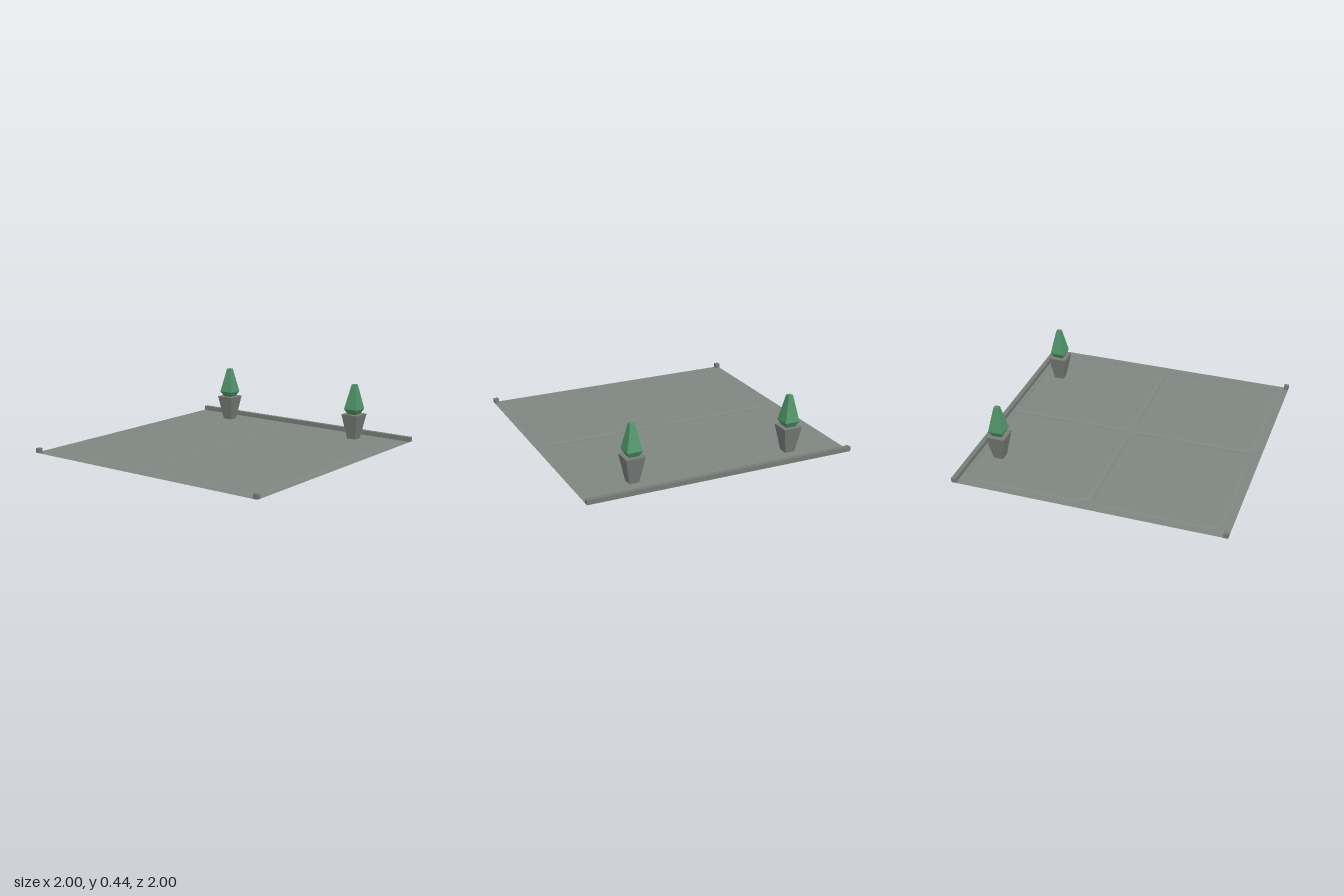
import * as THREE from 'three';

const mat = (name, color, extra = {}) =>
  Object.assign(new THREE.MeshStandardMaterial({ color, ...extra }), { name });

// Stacked rings of [x, y, z] points joined into a flat-faced skin, optionally capped.
function loft(rings, capTop, capBottom) {
  const v = [];
  const n = rings[0].length;
  for (let r = 0; r + 1 < rings.length; r++) {
    for (let i = 0; i < n; i++) {
      const j = (i + 1) % n;
      const [a, b, c, d] = [rings[r][i], rings[r][j], rings[r + 1][j], rings[r + 1][i]];
      v.push(...a, ...b, ...c, ...a, ...c, ...d);
    }
  }
  const top = rings[rings.length - 1], low = rings[0];
  for (let i = 1; i + 1 < n; i++) {
    if (capTop) v.push(...top[0], ...top[i], ...top[i + 1]);
    if (capBottom) v.push(...low[0], ...low[i + 1], ...low[i]);
  }
  const g = new THREE.BufferGeometry();
  g.setAttribute('position', new THREE.Float32BufferAttribute(v, 3));
  g.computeVertexNormals();
  return g;
}

// Square ring of a given width, counter-clockwise seen from above
const square = (w, y) => [[-1, 1], [1, 1], [1, -1], [-1, -1]].map(([x, z]) => [x * w / 2, y, z * w / 2]);

// Rectangle with cut corners, inset from its bounds
function octagon([x0, x1, z0, z1], inset, y) {
  const c = 0.07 - inset * 0.6;
  x0 += inset; x1 -= inset; z0 += inset; z1 -= inset;
  return [[x0 + c, z1], [x1 - c, z1], [x1, z1 - c], [x1, z0 + c],
    [x1 - c, z0], [x0 + c, z0], [x0, z0 + c], [x0, z1 - c]].map(([x, z]) => [x, y, z]);
}

export function createModel() {
  const model = new THREE.Group();
  model.name = 'courtyardTile';

  const paving = mat('paving grey', 0x7f8680, { side: THREE.DoubleSide });
  const stone = mat('stone grey', 0x777c78);
  const metal = mat('grate grey', 0x5e625f);
  const leaf = mat('leaf green', 0x4f9469);

  const add = (parent, name, geometry, material, x = 0, y = 0, z = 0) => {
    const mesh = new THREE.Mesh(geometry, material);
    mesh.name = name;
    mesh.position.set(x, y, z);
    parent.add(mesh);
    return mesh;
  };

  // Floor sheet with four raised, bevelled panels
  const base = 0.016, raised = 0.02;
  const floor = new THREE.Shape([[-1, -1], [1, -1], [1, 1], [-1, 1]].map(p => new THREE.Vector2(...p)));
  for (const [x0, x1] of [[-0.94, -0.003], [0.003, 0.945]]) {
    for (const [z0, z1] of [[-0.95, -0.006], [0.003, 0.935]]) {
      const bounds = [x0, x1, z0, z1];
      const outer = octagon(bounds, 0, base);
      floor.holes.push(new THREE.Path(outer.map(([x, , z]) => new THREE.Vector2(x, -z))));
      add(model, 'floorPanel', loft([outer, octagon(bounds, 0.02, raised)], true, false), paving);
    }
  }
  add(model, 'floorBorder', new THREE.ShapeGeometry(floor).rotateX(-Math.PI / 2), paving, 0, base, 0);

  // Back kerb and front corner blocks
  const k = 0.034;
  add(model, 'backKerb', new THREE.BoxGeometry(2, k, k), stone, 0, base + k / 2, -1 + k / 2);
  for (const s of [-1, 1]) {
    add(model, 'cornerBlock', new THREE.BoxGeometry(k, k, k), stone, s * (1 - k / 2), base + k / 2, 1 - k / 2);
  }

  // Drain grate under the floor
  for (const z of [-0.8, -0.833, -0.866]) {
    add(model, 'grateBar', new THREE.BoxGeometry(0.575, 0.019, 0.018), metal, -0.405, 0.0095, z);
  }

  // Planters with clipped shrubs
  for (const s of [-1, 1]) {
    const planter = new THREE.Group();
    planter.name = 'planter';
    planter.position.set(s * 0.6, 0, -0.803);
    add(planter, 'pot', loft([square(0.07, base), square(0.14, 0.21)], true, true), stone);
    add(planter, 'shrub', loft([square(0.07, 0.21), square(0.112, 0.25), square(0.034, 0.44)], true, false), leaf);
    model.add(planter);
  }
  return model;
}
